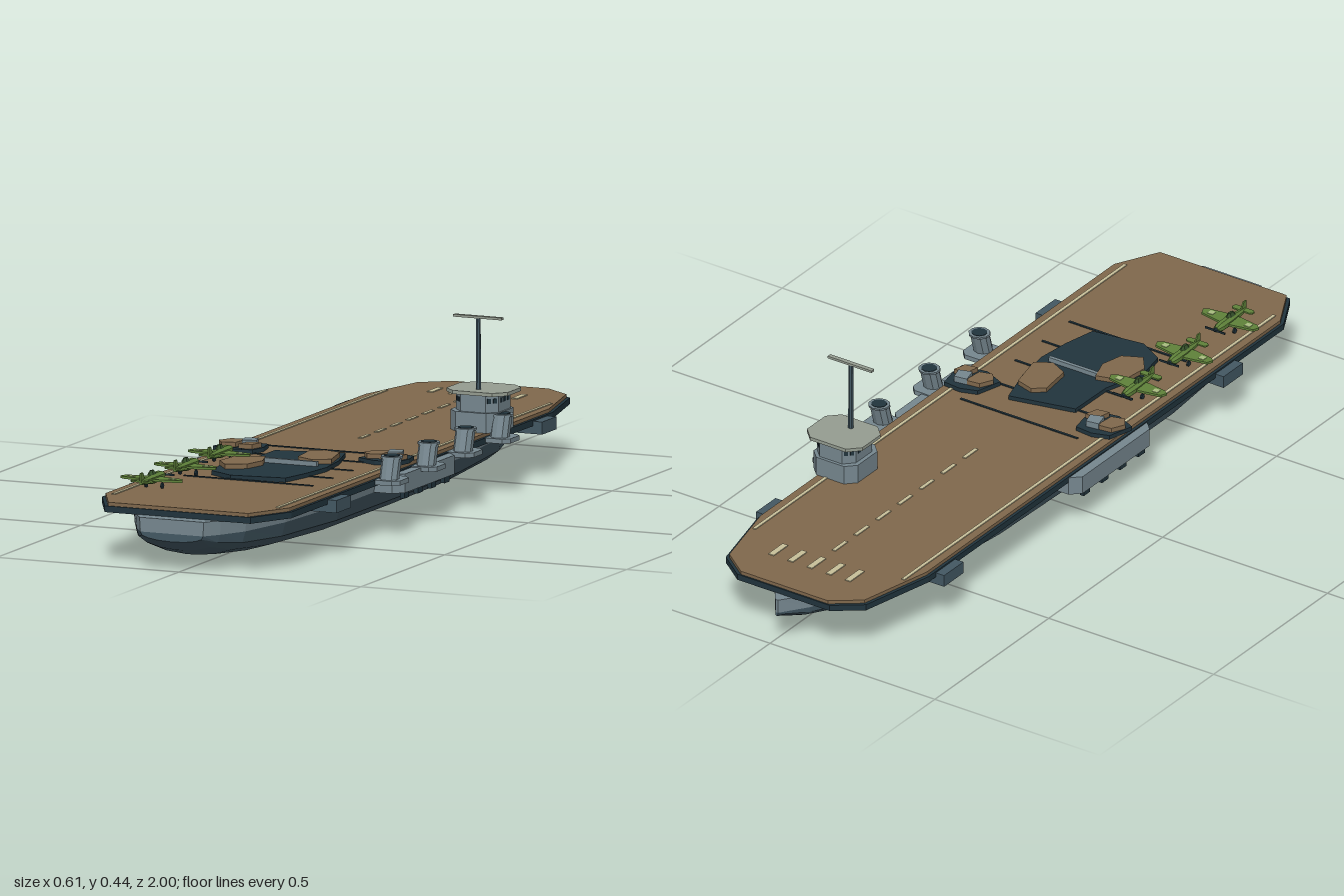
import * as THREE from 'three';

const paint = (name, color) => Object.assign(new THREE.MeshStandardMaterial({ color }), { name });
const M = {
  wood: paint('deck wood', 0x80684c), dark: paint('dark steel', 0x21343d),
  grey: paint('hull grey', 0x76878f), slate: paint('slate', 0x435863),
  pale: paint('pale roof', 0x959d91), cream: paint('deck marking', 0xc8c09a),
  green: paint('aircraft green', 0x5f823a), darkGreen: paint('aircraft dark green', 0x35502a),
  lightGreen: paint('wing patch', 0xa9bd80),
};
const CX = -0.02, DECK = 0.155;

function add(parent, name, geo, mat, x = 0, y = 0, z = 0) {
  if (geo.index) geo = geo.toNonIndexed();
  geo.computeVertexNormals();
  const m = new THREE.Mesh(geo, mat);
  m.name = name;
  m.position.set(x, y, z);
  parent.add(m);
  return m;
}
const box = (w, h, d) => new THREE.BoxGeometry(w, h, d);

// Flat slab from a plan outline of [x, z] corners
function slab(pts, y0, y1) {
  const shape = new THREE.Shape(pts.map(([x, z]) => new THREE.Vector2(x, -z)));
  const g = new THREE.ExtrudeGeometry(shape, { depth: y1 - y0, bevelEnabled: false });
  return g.rotateX(-Math.PI / 2).translate(0, y0, 0);
}
// Rectangle plan with cut corners
const chamfered = (x, z, hw, hd, c) => [
  [x - hw, z - hd + c], [x - hw + c, z - hd], [x + hw - c, z - hd], [x + hw, z - hd + c],
  [x + hw, z + hd - c], [x + hw - c, z + hd], [x - hw + c, z + hd], [x - hw, z + hd - c]];

// Skin over closed rings of points, capped at both ends
function loft(rings) {
  const p = [], n = rings[0].length;
  const tri = (...v) => v.forEach(q => p.push(...q));
  for (let i = 0; i < rings.length - 1; i++) {
    for (let j = 0; j < n; j++) {
      const k = (j + 1) % n, a = rings[i], b = rings[i + 1];
      tri(a[j], a[k], b[k]);
      tri(a[j], b[k], b[j]);
    }
  }
  const s = rings[0], e = rings[rings.length - 1];
  for (let j = 1; j < n - 1; j++) {
    tri(s[0], s[j + 1], s[j]);
    tri(e[0], e[j], e[j + 1]);
  }
  const g = new THREE.BufferGeometry();
  g.setAttribute('position', new THREE.Float32BufferAttribute(p, 3));
  return g;
}

function buildHull(parent) {
  // z, half width, keel height
  const stations = [[-1, 0.004, 0.085], [-0.93, 0.055, 0.06], [-0.78, 0.125, 0.027], [-0.6, 0.175, 0.01],
    [-0.3, 0.207, 0.002], [0.05, 0.215, 0], [0.45, 0.215, 0.001], [0.73, 0.192, 0.01],
    [0.89, 0.155, 0.026], [0.96, 0.117, 0.048], [1, 0.088, 0.075]];
  const ring = (profile) => stations.map(([z, w, keel]) => {
    const pt = ([f, y]) => [f * w, y >= 0.095 ? y : keel + y * (0.095 - keel) / 0.095, z];
    const right = profile.map(pt);
    const left = right.map(([x, y, zz]) => [CX - x, y, zz]);
    return [...left, ...right.reverse().map(([x, y, zz]) => [CX + x, y, zz])];
  });
  add(parent, 'upperHull', loft(ring([[1, 0.131], [0.98, 0.095]])), M.grey);
  add(parent, 'lowerHull', loft(ring([[0.98, 0.095], [0.93, 0.055], [0.75, 0.028], [0.42, 0.007], [0.08, 0]])), M.slate);
}

function buildDeck(parent) {
  const half = [[0.14, -0.97], [0.213, -0.915], [0.26, -0.71], [0.26, 0.85], [0.2, 0.965]];
  const outline = inset => {
    const r = half.map(([x, z]) => [x - inset, z - Math.sign(z) * inset * 0.5]);
    return [...r.map(([x, z]) => [CX + x, z]), ...r.reverse().map(([x, z]) => [CX - x, z])];
  };
  add(parent, 'deckEdge', slab(outline(0), 0.13, 0.146), M.dark);
  add(parent, 'flightDeck', slab(outline(0.008), 0.146, DECK), M.wood);
  const mark = (name, x, z, w, d, mat = M.cream) => add(parent, name, box(w, 0.003, d), mat, x, DECK + 0.001, z);
  for (const s of [-1, 1]) mark('sideLine', CX + s * 0.226, 0.043, 0.009, 1.63);
  for (let i = 0; i < 7; i++) mark('centreDash', CX, -0.722 + i * 0.0953, 0.01, 0.055);
  for (let i = -2; i <= 2; i++) mark('bowBar', CX + i * 0.058, -0.825, 0.016, 0.062);
  for (let i = 0; i < 5; i++) mark('arrestorCable', CX, 0.065 + i * 0.119, 0.355, 0.006, M.dark);
}

// Torn deck areas with lifted planking
function buildDamage(parent) {
  add(parent, 'deckBreach', slab([[-0.118, 0.17], [0.058, 0.13], [0.09, 0.24], [0.102, 0.34], [0.092, 0.43],
    [0.072, 0.52], [-0.07, 0.54], [-0.14, 0.5], [-0.155, 0.42], [-0.12, 0.3]], DECK, 0.166), M.dark);
  add(parent, 'brokenPlanking', slab([[-0.145, 0.34], [-0.075, 0.32], [-0.055, 0.38], [-0.07, 0.44],
    [-0.12, 0.465], [-0.155, 0.42]], 0.166, 0.178), M.wood);
  add(parent, 'brokenPlanking', slab([[-0.01, 0.2], [0.02, 0.175], [0.07, 0.19], [0.092, 0.29],
    [0.05, 0.315], [0.0, 0.29]], 0.166, 0.178), M.wood);
  add(parent, 'exposedBeam', box(0.15, 0.012, 0.01), M.grey, 0, 0.172, 0.335);
  for (const x of [-0.22, 0.18]) {
    const g = new THREE.Group();
    g.name = 'smallBreach';
    g.position.set(x, 0, 0.147);
    parent.add(g);
    add(g, 'breach', slab([[-0.065, 0.03], [-0.045, -0.04], [0.0, -0.055], [0.05, -0.05],
      [0.06, 0.0], [0.05, 0.045], [-0.01, 0.055]], DECK, 0.166), M.dark);
    add(g, 'brokenPlanking', slab([[-0.058, 0.01], [-0.04, -0.025], [0, -0.03], [-0.005, 0.025], [-0.04, 0.035]], 0.166, 0.178), M.wood);
    add(g, 'brokenPlanking', slab([[0.02, 0.0], [0.055, 0.0], [0.045, 0.035], [0.01, 0.04]], 0.166, 0.178), M.wood);
    add(g, 'debris', slab([[-0.005, -0.03], [0.03, -0.035], [0.04, -0.002], [0.005, 0.01]], 0.166, 0.182), M.grey);
  }
}

function buildSides(parent) {
  for (const s of [-1, 1]) {
    add(parent, 'gallery', slab(chamfered(CX + s * 0.225, 0.078, 0.06, 0.172, 0.025), 0.095, 0.143), M.grey);
    for (let i = 0; i < 4; i++) add(parent, 'galleryFoot', box(0.012, 0.018, 0.028), M.dark, CX + s * 0.272, 0.087, -0.04 + i * 0.08);
    for (const z of [-0.635, 0.592]) add(parent, 'sidePlatform', box(0.075, 0.032, 0.085), M.slate, CX + s * 0.2475, 0.126, z);
  }
  // Leaning stacks on pads along the starboard edge
  for (const z of [-0.35, -0.13, 0.09, 0.31]) {
    add(parent, 'stackPad', slab(chamfered(0.262, z, 0.04, 0.042, 0.016), 0.134, 0.146), M.grey);
    const lean = geo => {
      const p = geo.attributes.position;
      for (let i = 0; i < p.count; i++) p.setZ(i, p.getZ(i) - (p.getY(i) - 0.172) * 0.3);
      return geo;
    };
    const tube = (r, y0, y1) => lean(new THREE.CylinderGeometry(r, r, y1 - y0, 10).translate(0, (y0 + y1) / 2, 0));
    add(parent, 'stack', tube(0.025, 0.146, 0.198), M.grey, 0.264, 0, z);
    add(parent, 'stackRim', tube(0.028, 0.196, 0.202), M.grey, 0.264, 0, z);
    add(parent, 'stackMouth', tube(0.02, 0.2, 0.2035), M.dark, 0.264, 0, z);
  }
}

function buildIsland(parent) {
  const g = new THREE.Group();
  g.name = 'island';
  g.position.set(0.197, 0, -0.388);
  parent.add(g);
  add(g, 'islandBase', slab(chamfered(-0.003, 0, 0.067, 0.068, 0.025), DECK, 0.205), M.grey);
  add(g, 'bridge', slab(chamfered(0, 0, 0.059, 0.06, 0.025), 0.205, 0.249), M.grey);
  add(g, 'bridgeRoof', slab(chamfered(0.002, 0, 0.084, 0.07, 0.03), 0.249, 0.258), M.pale);
  // Bridge windows
  for (const s of [-1, 1]) {
    for (const t of [-0.02, 0, 0.02]) {
      add(g, 'window', box(0.003, 0.012, 0.011), M.dark, s * 0.059, 0.234, t);
    }
    for (const e of [-1, 1]) for (const o of [-0.008, 0.008]) {
      const m = add(g, 'window', box(0.01, 0.012, 0.003), M.dark, s * (0.0465 + o * 0.7), 0.234, e * (0.0475 - o * 0.7));
      m.rotation.y = s * e * Math.PI / 4;
    }
  }
  add(g, 'mast', new THREE.CylinderGeometry(0.006, 0.007, 0.182, 8), M.slate, 0, 0.349, 0.028);
  add(g, 'mastBar', box(0.133, 0.006, 0.012), M.pale, 0, 0.441, 0.028);
}

function buildPlane(parent, z) {
  const g = new THREE.Group();
  g.name = 'aircraft';
  g.position.set(-0.193, 0.181, z);
  parent.add(g);
  // x radius, y radius and z along the body, nose first
  const body = [[0.008, 0.008, -0.062], [0.013, 0.013, -0.045], [0.013, 0.014, 0], [0.005, 0.006, 0.068]];
  add(g, 'fuselage', loft(body.map(([rx, ry, bz]) => Array.from({ length: 8 }, (_, i) => {
    const a = (i + 0.5) * Math.PI / 4;
    return [rx * Math.cos(a), ry * Math.sin(a), bz];
  }))), M.green);
  add(g, 'wing', slab([[-0.085, 0.005], [-0.078, -0.012], [-0.02, -0.023], [0.02, -0.023], [0.078, -0.012],
    [0.085, 0.005], [0.072, 0.014], [0.02, 0.022], [-0.02, 0.022], [-0.072, 0.014]], -0.004, 0.002), M.green);
  for (const s of [-1, 1]) {
    add(g, 'wingPatch', box(0.016, 0.002, 0.016), M.lightGreen, s * 0.056, 0.0025, 0);
    add(g, 'wheel', new THREE.CylinderGeometry(0.007, 0.007, 0.005, 8).rotateZ(Math.PI / 2), M.dark, s * 0.022, -0.019, -0.012);
    add(g, 'wheelStrut', box(0.003, 0.016, 0.003), M.dark, s * 0.022, -0.011, -0.012);
  }
  add(g, 'tailplane', slab(chamfered(0, 0.058, 0.031, 0.009, 0.005), 0, 0.004), M.green);
  const fin = new THREE.Shape([[-0.07, 0], [-0.07, 0.024], [-0.058, 0.024], [-0.044, 0]].map(p => new THREE.Vector2(...p)));
  add(g, 'fin', new THREE.ExtrudeGeometry(fin, { depth: 0.004, bevelEnabled: false }).rotateY(Math.PI / 2).translate(-0.002, 0, 0), M.green);
  add(g, 'canopy', new THREE.CylinderGeometry(0.004, 0.009, 0.01, 6).scale(1, 1, 2.2), M.darkGreen, 0, 0.016, 0.002);
  add(g, 'propeller', box(0.06, 0.005, 0.003), M.dark, 0, 0, -0.066);
  add(g, 'propellerHub', new THREE.ConeGeometry(0.006, 0.012, 6).rotateX(-Math.PI / 2), M.dark, 0, 0, -0.068);
}

export function createModel() {
  const ship = new THREE.Group();
  ship.name = 'carrierShip';
  buildHull(ship);
  buildDeck(ship);
  buildDamage(ship);
  buildSides(ship);
  buildIsland(ship);
  for (const z of [0.335, 0.538, 0.74]) buildPlane(ship, z);
  return ship;
}
